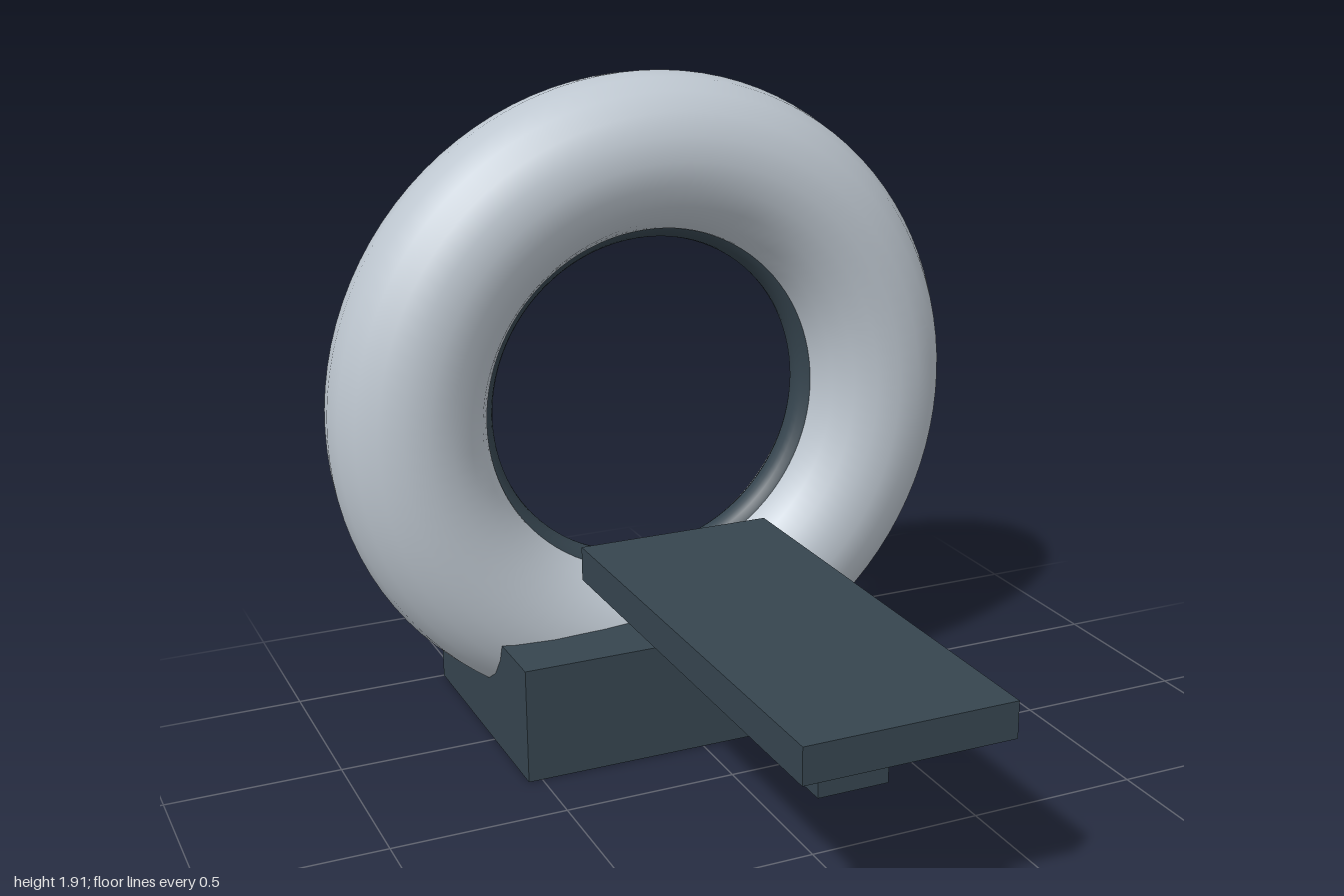
import * as THREE from 'three';

export function createModel() {
  const model = new THREE.Group();
  model.name = 'ringScanner';

  const shell = new THREE.MeshStandardMaterial({ color: 0xbec7d0 });
  shell.name = 'pale grey shell';
  const dark = new THREE.MeshStandardMaterial({ color: 0x36454f });
  dark.name = 'dark slate';

  const add = (name, geometry, material, x, y, z) => {
    const mesh = new THREE.Mesh(geometry, material);
    mesh.name = name;
    mesh.position.set(x, y, z);
    model.add(mesh);
  };

  // Box given by its width and its y and z limits, centred on x = 0
  const addBox = (name, width, y0, y1, z0, z1) =>
    add(name, new THREE.BoxGeometry(width, y1 - y0, z1 - z0), dark, 0, (y0 + y1) / 2, (z0 + z1) / 2);

  // Upright ring, with a thin dark ring lining its bore
  add('ringHousing', new THREE.TorusGeometry(0.73, 0.225, 20, 96), shell, 0, 0.96, -0.6);
  add('boreLining', new THREE.TorusGeometry(0.545, 0.065, 20, 96), dark, 0, 0.96, -0.6);

  // Block carrying the ring
  addBox('base', 1.08, 0, 0.34, -1, -0.2);

  // Table in front of the bore, with its support beam
  addBox('tableTop', 0.58, 0.5, 0.6, -0.4, 1);
  addBox('tableSupport', 0.2, 0.29, 0.5, -0.125, 0.715);

  return model;
}
